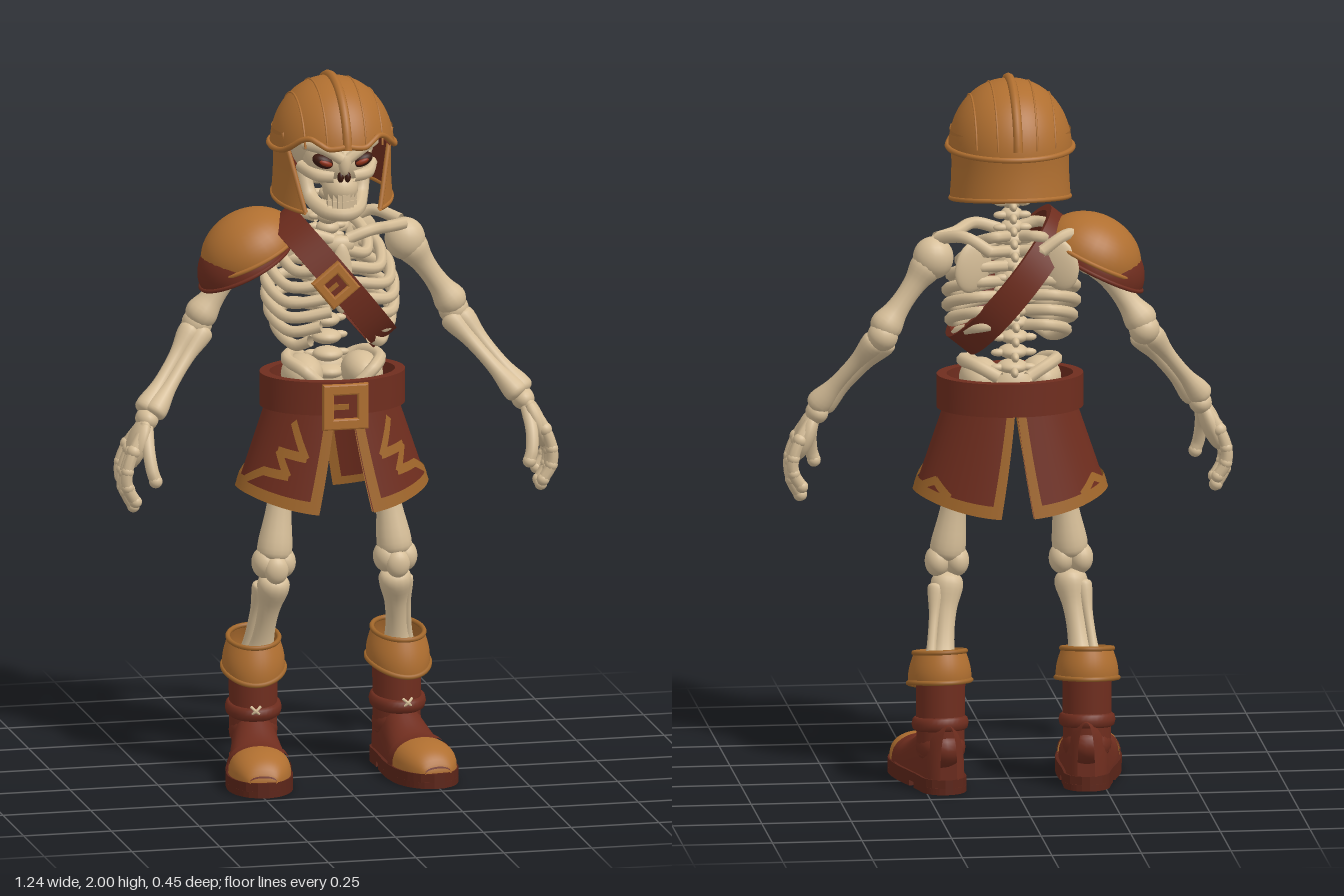
import * as THREE from 'three';
import { toCreasedNormals } from 'three/addons/utils/BufferGeometryUtils.js';
import { ParametricGeometry } from 'three/addons/geometries/ParametricGeometry.js';

const V = (x, y, z) => new THREE.Vector3(x, y, z);
const { sin, cos, PI, sqrt, abs, pow } = Math;

export function createModel() {
  const root = new THREE.Group();
  root.name = 'skeletonWarrior';
  const material = (name, color) => Object.assign(
    new THREE.MeshStandardMaterial({ color, side: THREE.DoubleSide }), { name });
  const bone = material('bone', 0xd6be98);
  const tan = material('tanLeather', 0xb06f30);
  const trim = material('trim', 0xa0662a);
  const red = material('redLeather', 0x6f2d1e);
  const sole = material('sole', 0x5c2519);
  const dark = material('socket', 0x3c1a10);
  const glow = material('eye', 0x94331a);

  // ---- helpers ----
  const add = (name, geo, mat, pos = V(0, 0, 0), parent = root) => {
    const m = new THREE.Mesh(geo, mat);
    m.name = name; m.position.copy(pos); parent.add(m);
    return m;
  };
  const ball = (name, mat, x, y, z, rx, ry = rx, rz = rx, parent = root) => {
    const m = add(name, new THREE.SphereGeometry(1, 20, 14), mat, V(x, y, z), parent);
    m.scale.set(rx, ry, rz);
    return m;
  };
  const tube = (name, mat, pts, r, closed = false, parent = root) => add(name,
    new THREE.TubeGeometry(new THREE.CatmullRomCurve3(pts, closed), pts.length * 6, r, 8, closed), mat, V(0, 0, 0), parent);
  const sheet = (name, mat, fn, nu, nv, parent = root) => add(name,
    new ParametricGeometry((u, v, t) => t.copy(fn(u, v)), nu, nv), mat, V(0, 0, 0), parent);
  // long bone with knobbed ends
  const longBone = (name, a, b, r, k = 1.6) => {
    const d = b.clone().sub(a), L = d.length(), e = r * k;
    const half = [[0, -0.5 * e], [0.75 * e, -0.3 * e], [e, 0.35 * e], [r, L * 0.28]];
    const pts = [...half, [r * 0.88, L * 0.5], ...half.map(([x, y]) => [x, L - y]).reverse()]
      .map(p => new THREE.Vector2(...p));
    const prof = new THREE.SplineCurve(pts).getPoints(32).map(p => p.setX(Math.max(p.x, 0)));
    add(name, new THREE.LatheGeometry(prof, 14), bone, a)
      .quaternion.setFromUnitVectors(V(0, 1, 0), d.normalize());
  };
  // closed band with a flat rectangular section
  const ribbon = (name, mat, centre, normal, wide, h, th) => {
    const corner = [[1, 1], [-1, 1], [-1, -1], [1, -1]];
    const g = new ParametricGeometry((u, v, t) => {
      const a = u * 2 * PI, c = corner[Math.round(v * 4) % 4];
      t.copy(centre(a)).addScaledVector(wide, c[0] * h).addScaledVector(normal(a), c[1] * th);
    }, 64, 4);
    add(name, toCreasedNormals(g, 0.7), mat);
  };
  const buckle = (name, s, pos, rotZ) => {
    const sq = (C, r) => new C([[-r, -r], [r, -r], [r, r], [-r, r]].map(p => new THREE.Vector2(...p)));
    const shape = sq(THREE.Shape, s);
    shape.holes.push(sq(THREE.Path, s * 0.64));
    const g = new THREE.Group();
    g.name = name; g.position.copy(pos); g.rotation.z = rotZ; root.add(g);
    add('frame', new THREE.ExtrudeGeometry(shape, { depth: 0.012, bevelSize: 0.005, bevelThickness: 0.005, bevelSegments: 2 }), tan, V(0, 0, 0), g);
    add('plate', new THREE.BoxGeometry(s * 1.5, s * 1.5, 0.008), red, V(0, 0, 0.002), g);
    add('prong', new THREE.BoxGeometry(s * 0.9, s * 0.25, 0.01), trim, V(-s * 0.3, 0, 0.008), g);
  };

  // ---- helmet ----
  const A = 0.172, C = 0.196, N = 2.1, H = 0.203, Y0 = 1.785, Z0 = -0.02;
  const rim = a => {
    const b = Math.min(a, 2 * PI - a);
    return 1.8 + 0.03 * Math.exp(-pow(b / 0.25, 2)) + 0.05 * Math.exp(-pow((b - 0.65) / 0.35, 2));
  };
  const dome = (a, y, k = 1) => {
    const R = k * pow(Math.max(0, 1 - pow((y - Y0) / H, N)), 1 / N);
    return V(sin(a) * A * R, y, cos(a) * C * R + Z0);
  };
  for (const [name, mat, k] of [['helmetDome', tan, 1], ['helmetLining', red, 0.96]]) sheet(name, mat, (u, v) => {
    const a = u * 2 * PI, r = rim(a), p = dome(a, r + (Y0 + H - r) * cos(v * PI / 2), k);
    return p.setY(p.y - (1 - k) * 0.2);
  }, 64, 20);
  tube('helmetRim', tan, Array.from({ length: 40 }, (_, i) => dome(i * PI / 20, rim(i * PI / 20), 1.01)), 0.008, true);
  for (const [x, r] of [[0, 0.013], [0.055, 0.003], [-0.055, 0.003], [0.11, 0.003], [-0.11, 0.003]]) {
    const zm = C * sqrt(0.975 - x * x / A / A);
    tube('helmetRidge', tan, Array.from({ length: 17 }, (_, i) => {
      const z = zm * sin((i / 8 - 1) * PI / 2), R2 = x * x / A / A + z * z / C / C;
      return V(x, Y0 + H * pow(1 - pow(R2, N / 2), 1 / N), z + Z0);
    }), r);
  }
  const guard = (u, v, k = 1) => {
    const a0 = 1.2 - 0.5 * v, a = a0 + u * (2 * PI - 2 * a0), c = cos(a);
    const low = 1.655 - 0.025 * c, w = k * (1 - 0.03 * sin(v * PI));
    return V(sin(a) * 0.168 * w, 1.85 + (low - 1.85) * v, c * 0.176 * w + Z0);
  };
  sheet('neckAndCheekGuard', tan, (u, v) => guard(u, v), 48, 8);
  sheet('guardLining', red, (u, v) => guard(u, v, 0.96), 48, 8);
  tube('guardEdge', tan, Array.from({ length: 30 }, (_, i) => guard(i / 29, 1, 0.98)), 0.007);
  for (const u of [0, 1]) tube('cheekEdge', tan, [0, 0.25, 0.5, 0.75, 1].map(v => guard(u, v, 0.98)), 0.007);

  // ---- skull ----
  ball('cranium', bone, 0, 1.81, -0.03, 0.118, 0.12, 0.135);
  ball('face', bone, 0, 1.775, 0.042, 0.096, 0.08, 0.09);
  ball('upperJaw', bone, 0, 1.695, 0.08, 0.05, 0.048, 0.052);
  ball('noseBridge', bone, 0, 1.775, 0.132, 0.017, 0.035, 0.015);
  for (const s of [1, -1]) {
    ball('eyeSocket', dark, s * 0.053, 1.779, 0.108, 0.034, 0.02, 0.025).rotation.z = s * 0.35;
    ball('eye', glow, s * 0.052, 1.777, 0.126, 0.02, 0.009, 0.01).rotation.z = s * 0.35;
    tube('brow', bone, [V(s * 0.008, 1.788, 0.14), V(s * 0.05, 1.814, 0.13), V(s * 0.098, 1.822, 0.07)], 0.016);
    tube('cheekbone', bone, [V(s * 0.025, 1.735, 0.118), V(s * 0.07, 1.738, 0.1), V(s * 0.1, 1.75, 0.03)], 0.018);
    ball('nostril', dark, s * 0.01, 1.735, 0.128, 0.009, 0.015, 0.01);
  }
  tube('lowerJaw', bone, [V(-0.085, 1.73, -0.01), V(-0.072, 1.66, 0.02), V(-0.04, 1.632, 0.095), V(0, 1.627, 0.112),
    V(0.04, 1.632, 0.095), V(0.072, 1.66, 0.02), V(0.085, 1.73, -0.01)], 0.022);
  for (let i = -3; i <= 3; i++) for (const y of [1.675, 1.655])
    add('tooth', new THREE.BoxGeometry(0.0115, 0.019, 0.014), bone, V(i * 0.012, y, 0.124 - i * i * 0.0025));

  // ---- spine, ribs and shoulders ----
  const spine = new THREE.CatmullRomCurve3([V(0, 1.72, -0.05), V(0, 1.58, -0.06), V(0, 1.45, -0.12), V(0, 1.32, -0.11), V(0, 1.14, -0.06)]);
  for (let i = 0; i <= 16; i++) {
    const p = spine.getPoint(i / 16), r = 0.028 + i * 0.001;
    ball('vertebra', bone, 0, p.y, p.z, r, 0.021, r);
    ball('vertebraSpur', bone, 0, p.y - 0.008, p.z - r - 0.008, 0.011, 0.014, 0.022);
    for (const s of [1, -1]) ball('vertebraWing', bone, s * r, p.y, p.z - 0.015, 0.022, 0.011, 0.012);
  }
  const ribWidths = [0.1, 0.14, 0.165, 0.176, 0.176, 0.168, 0.15];
  ribWidths.forEach((w, i) => {
    const y = 1.565 - i * 0.042, front = 0.055 + 0.045 * sin((i + 1) / 7 * PI * 0.8), inner = i < 4 ? 0.015 : 0.03 + (i - 4) * 0.028;
    for (const s of [1, -1]) tube('rib', bone, [V(s * 0.02, y, -0.12), V(s * w * 0.6, y + 0.005, -0.155), V(s * w * 0.97, y - 0.02, -0.09),
      V(s * w, y - 0.045, -0.02), V(s * w * 0.8, y - 0.068, front - 0.03), V(s * inner, y - 0.05, front + 0.005)], 0.016);
  });
  ball('breastbone', bone, 0, 1.44, 0.1, 0.03, 0.1, 0.016);
  ball('breastboneTop', bone, 0, 1.53, 0.075, 0.042, 0.027, 0.02);
  for (const s of [1, -1]) {
    tube('collarbone', bone, [V(s * 0.02, 1.545, 0.075), V(s * 0.09, 1.565, 0.065), V(s * 0.15, 1.555, 0.0), V(s * 0.21, 1.55, -0.05)], 0.017);
    tube('shoulderBladeRidge', bone, [V(s * 0.07, 1.53, -0.17), V(s * 0.14, 1.57, -0.15), V(s * 0.21, 1.555, -0.08)], 0.017);
    ball('shoulderBlade', bone, s * 0.12, 1.49, -0.16, 0.055, 0.075, 0.016).rotation.set(0, s * 0.35, s * 0.25);
  }

  // ---- pelvis ----
  ball('sacrum', bone, 0, 1.12, -0.08, 0.06, 0.07, 0.035);
  for (const s of [1, -1]) {
    ball('hipWing', bone, s * 0.085, 1.145, -0.02, 0.058, 0.055, 0.085).rotation.z = -s * 0.5;
    tube('hipCrest', bone, [V(s * 0.04, 1.16, -0.11), V(s * 0.1, 1.19, -0.08), V(s * 0.13, 1.19, 0.0), V(s * 0.1, 1.175, 0.07), V(s * 0.05, 1.13, 0.08)], 0.018);
  }

  // ---- arms and legs ----
  for (const s of [1, -1]) {
    const P = (x, y, z) => V(s * x, y, z);
    ball('shoulderJoint', bone, s * 0.222, 1.5, -0.08, 0.057, 0.06, 0.053);
    longBone('upperArm', P(0.235, 1.485, -0.08), P(0.362, 1.305, -0.095), 0.034, 1.35);
    ball('elbow', bone, s * 0.365, 1.287, -0.1, 0.043);
    longBone('forearmOuter', P(0.385, 1.27, -0.09), P(0.535, 1.075, 0.005), 0.023, 1.5);
    longBone('forearmInner', P(0.355, 1.265, -0.085), P(0.515, 1.07, 0.025), 0.022, 1.5);
    ball('wrist', bone, s * 0.535, 1.05, 0.015, 0.032, 0.032, 0.042);
    ball('palm', bone, s * 0.566, 0.985, 0.03, 0.028, 0.078, 0.056).rotation.z = s * 0.35;
    for (let i = 0; i < 4; i++) {
      const z = -0.015 + i * 0.03, len = [0.85, 0.97, 1, 0.92][i];
      const f = [[0.545, 1.04, 0.4], [0.585, 0.965, 0.9], [0.604, 0.905, 1], [0.603, 0.855, 0.97], [0.58, 0.81, 0.9]]
        .map(([x, y, k]) => P(x, 1.04 - (1.04 - y) * len, 0.03 + (z - 0.03) * k));
      tube('finger', bone, f, 0.0165);
      for (const j of [1, 2, 3, 4]) ball('knuckle', bone, f[j].x, f[j].y, f[j].z, j === 1 ? 0.02 : 0.0178);
    }
    tube('thumb', bone, [P(0.54, 1.03, 0.04), P(0.545, 0.97, 0.085), P(0.54, 0.92, 0.106), P(0.532, 0.895, 0.11)], 0.018);
    ball('thumbTip', bone, s * 0.532, 0.893, 0.11, 0.019);

    longBone('thigh', P(0.12, 1.06, -0.02), P(0.172, 0.645, 0.012), 0.037, 1.35);
    for (const d of [-1, 1]) ball('kneeKnob', bone, s * 0.173 + d * 0.027, 0.62, 0.01, 0.035, 0.044, 0.044);
    ball('kneecap', bone, s * 0.173, 0.605, 0.045, 0.034, 0.04, 0.025);
    longBone('shin', P(0.172, 0.565, 0.012), P(0.198, 0.31, -0.075), 0.033, 1.4);
    longBone('calfBone', P(0.205, 0.55, -0.01), P(0.235, 0.31, -0.095), 0.015, 1.6);
  }

  // ---- shoulder armour ----
  for (const [name, mat, x, y, k] of [['shoulderPad', tan, -0.22, 1.49, 1], ['shoulderPadLower', red, -0.238, 1.452, 0.94]]) {
    const g = new THREE.Group();
    g.name = name; g.position.set(x, y, -0.062); g.rotation.z = 0.46; g.scale.set(0.145 * k, 0.12 * k, 0.138 * k); root.add(g);
    add('shell', new THREE.SphereGeometry(1, 32, 14, 0, 2 * PI, 0, PI / 2), mat, V(0, 0, 0), g);
    add('edge', new THREE.TorusGeometry(1, 0.05, 8, 40), mat, V(0, 0, 0), g).rotation.x = PI / 2;
  }

  // ---- chest strap ----
  const along = V(0.63, -0.777, 0), across = V(0.777, 0.63, 0);
  const loop = (a, l, z) => along.clone().multiplyScalar(l * sin(a)).add(V(0, 0, z * cos(a)));
  ribbon('chestStrap', red, a => loop(a, 0.222, 0.165).add(V(0, 1.42, -0.02)), a => loop(a, 0.165, 0.222).normalize(), across, 0.042, 0.01);
  buckle('strapBuckle', 0.044, V(-0.03, 1.435, 0.147), 0.68);

  // ---- belt and skirt ----
  ribbon('belt', red, a => V(0.19 * sin(a), 1.108, 0.145 * cos(a) - 0.015), a => V(sin(a), 0, cos(a)), V(0, 1, 0), 0.047, 0.014);
  buckle('beltBuckle', 0.06, V(0, 1.085, 0.137), 0);
  const skirt = (a, k, off = 0) => V((0.185 + 0.08 * k + off) * sin(a),
    1.07 - k * (0.235 + 0.055 * cos(a) ** 2), (0.143 + 0.04 * k + off) * cos(a) - 0.022);
  for (const s of [1, -1]) {
    const side = p => V(p.x * s, p.y, p.z);
    const angle = (u, k) => { const f = 0.13 + 0.16 * k, b = 0.02 + 0.15 * k; return f + u * (PI - f - b); };
    const panel = (name, mat, u0, u1, k0, k1, off) => sheet(name, mat, (u, v) => {
      const k = k0 + (k1 - k0) * v;
      return side(skirt(angle(u0 + (u1 - u0) * u, k), k, off));
    }, 32, 8);
    panel('skirtPanel', red, 0, 1, 0, 1, 0);
    for (const off of [0.006, -0.006]) {
      panel('skirtHem', trim, 0, 1, off > 0 ? 0.89 : 0.93, 1.01, off);
      panel('skirtFrontEdge', trim, 0, 0.045, 0.05, 1, off);
      panel('skirtBackEdge', trim, 0.96, 1, 0, 1, off);
    }
    // zigzag trim, as straight strips laid on the skirt
    const zig = [[0.72, 0.14], [0.5, 0.47], [0.88, 0.45], [0.7, 0.68], [1.05, 0.7], [1.4, 0.89], [1.85, 0.9], [2.1, 0.78], [2.35, 0.9]];
    for (let i = 0; i < zig.length - 1; i++) {
      const [a, b] = [zig[i], zig[i + 1]], da = b[0] - a[0], dk = b[1] - a[1], L = Math.hypot(da, dk);
      sheet('zigzagTrim', trim, (u, v) => {
        const t = -0.05 + 1.1 * u, w = (v - 0.5) * 0.095 / L;
        return side(skirt(a[0] + da * t - dk * w, a[1] + dk * t + da * w, 0.007));
      }, 8, 1);
    }
  }

  // ---- boots ----
  const halfWidth = z => {
    const t = Math.min(1, Math.max(0, (z + 0.1) / 0.425)), e = t < 0.15 ? (0.15 - t) / 0.15 : t > 0.7 ? (t - 0.7) / 0.3 : 0;
    return (0.064 + 0.028 * THREE.MathUtils.smoothstep(t, 0.1, 0.65)) * sqrt(Math.max(0, 1 - e * e * 0.97));
  };
  const solePart = (z0, z1, y, h) => {
    const pts = [];
    for (const s of [1, -1]) for (let i = 0; i <= 24; i++) {
      const z = s > 0 ? z0 + (z1 - z0) * i / 24 : z1 - (z1 - z0) * i / 24;
      pts.push(new THREE.Vector2(s * halfWidth(z), -z));
    }
    return new THREE.ExtrudeGeometry(new THREE.Shape(pts), { depth: h, bevelEnabled: false }).rotateX(-PI / 2).translate(0, y, 0);
  };
  const upper = (z0, z1, k) => (u, v) => {
    const z = z0 + (z1 - z0) * u, a = v * PI;
    const h = (0.155 - 0.083 * THREE.MathUtils.smoothstep(z, -0.02, 0.18)) * sqrt(Math.max(0, 1 - pow(Math.max(0, (z - 0.19) / 0.125), 2.6)));
    return V(cos(a) * halfWidth(z) * 0.9 * k, 0.04 + pow(sin(a), 0.75) * h * k, z);
  };
  for (const s of [1, -1]) {
    const g = new THREE.Group();
    g.name = s > 0 ? 'leftBoot' : 'rightBoot';
    g.position.set(s * 0.205, 0, -0.1); g.rotation.y = s * 0.14; root.add(g);
    add('sole', solePart(-0.1, 0.325, 0.016, 0.026), sole, V(0, 0, 0), g);
    add('heel', solePart(-0.1, 0.02, 0, 0.018), sole, V(0, 0, 0), g);
    add('tread', solePart(0.05, 0.325, 0, 0.018), sole, V(0, 0, 0), g);
    sheet('footUpper', red, upper(-0.095, 0.313, 1), 32, 16, g);
    sheet('toeCap', tan, upper(0.185, 0.315, 1.05), 20, 16, g);
    sheet('toeBand', red, upper(0.155, 0.187, 1.09), 4, 16, g);
    add('shaft', new THREE.CylinderGeometry(0.069, 0.066, 0.23, 24, 1, true), red, V(0, 0.215, -0.005), g);
    ball('ankle', red, 0, 0.12, -0.005, 0.068, 0.06, 0.082, g);
    const strap = add('ankleStrap', new THREE.TorusGeometry(0.068, 0.011, 8, 32), red, V(0, 0.185, 0), g);
    strap.rotation.x = PI / 2 + 0.12; strap.scale.set(1, 1.08, 1.8);
    for (const d of [-1, 1]) tube('lace', bone, [V(-0.014, 0.19 - d * 0.012, 0.077), V(0, 0.19, 0.084), V(0.014, 0.19 + d * 0.012, 0.077)], 0.004, false, g);
    // folded cuff, flared downwards, with a pointed front
    const cuff = (u, v) => {
      const a = u * 2 * PI, c = cos(a), low = 0.305 - 0.012 * c - 0.025 * pow(abs(cos(a / 2)), 6);
      const top = 0.385 - 0.015 * c, r = 0.071 + 0.016 * sin(v * PI * 0.6);
      return V(sin(a) * r, top + (low - top) * v, c * r * 1.15 + 0.005);
    };
    sheet('cuff', tan, cuff, 40, 8, g);
    for (const v of [0, 1]) tube('cuffEdge', trim, Array.from({ length: 24 }, (_, i) => cuff(i / 24, v)), 0.007, true, g);
    add('cuffLining', new THREE.RingGeometry(0.03, 0.076, 24), red, V(0, 0.345, 0), g).rotation.x = -PI / 2;
  }
  return root;
}
